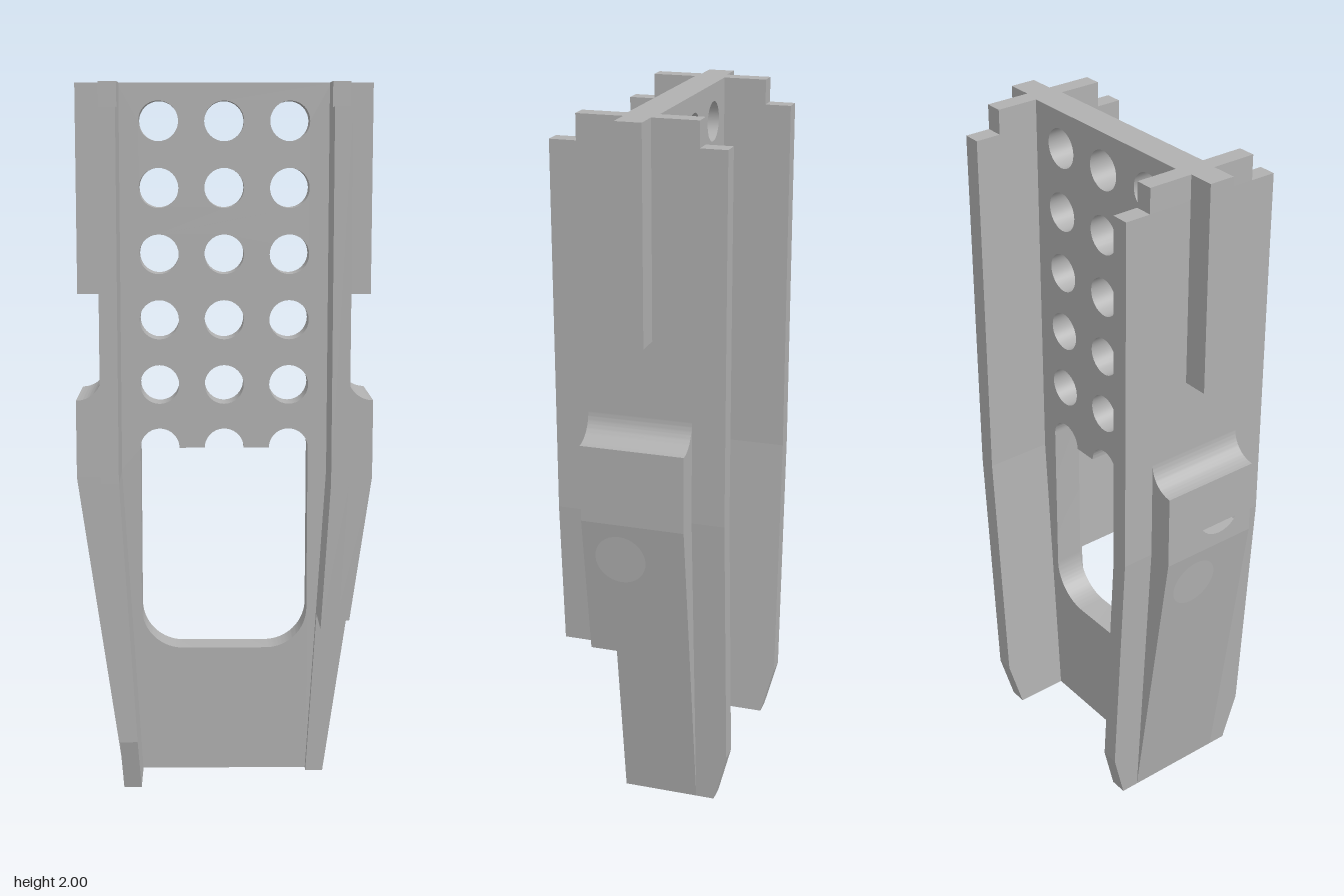
import * as THREE from 'three';
import { toCreasedNormals } from 'three/addons/utils/BufferGeometryUtils.js';

const BEND = 0.9;                                   // height where the sides start to taper
const taper = (y) => Math.max(0, (BEND - y) / BEND);
const flangeIn = (y) => 0.295 - 0.055 * taper(y);
const flangeOut = (y) => 0.345 - 0.055 * taper(y);
const padOut = (y) => 0.418 - 0.128 * taper(y);

export function createModel() {
  const model = new THREE.Group();
  model.name = 'frame';
  const grey = new THREE.MeshStandardMaterial({ color: 0xb0b0b0 });
  grey.name = 'grey';

  const outline = (pts) => new THREE.Shape(pts.map(([a, b]) => new THREE.Vector2(a, b)));
  const circle = (x, y, r) => new THREE.Path().absarc(x, y, r, 0, Math.PI * 2, true);
  const add = (parent, geo, name) => {
    const mesh = new THREE.Mesh(toCreasedNormals(geo, 0.22), grey);
    mesh.name = name;
    parent.add(mesh);
    return mesh;
  };
  const extrude = (shape, depth) =>
    new THREE.ExtrudeGeometry(shape, { depth, bevelEnabled: false, curveSegments: 16 });

  // Side plate from a (z, y) outline, filling x between two height-dependent faces
  const sidePlate = (pts, inner, outer, hole) => {
    const shape = outline(pts.map(([z, y]) => [-z, y]));
    if (hole) shape.holes.push(circle(-hole[0], hole[1], 0.073));
    const geo = extrude(shape, 1).rotateY(Math.PI / 2);
    const p = geo.attributes.position;
    for (let i = 0; i < p.count; i++) {
      const t = p.getX(i), y = p.getY(i);
      // bores in the sloping face run square to it
      const slanted = hole && hole[1] < BEND && y > 0.6 && y < 0.89;
      const yy = slanted && t < 0.5 ? y + 0.01 : y;
      p.setXYZ(i, t < 0.5 ? inner(yy) : outer(yy), yy, p.getZ(i));
    }
    return geo;
  };

  // Perforated centre web
  const web = outline([[-0.3, 2], [-0.3, BEND], [-0.245, 0], [0.245, 0], [0.3, BEND], [0.3, 2]]);
  for (const x of [-0.185, 0, 0.185])
    for (let row = 0; row < 5; row++) web.holes.push(circle(x, 1.895 - row * 0.186, 0.056));
  // Large window with a scalloped top edge
  const win = new THREE.Path();
  win.moveTo(-0.241, 0.967);
  for (const x of [-0.185, 0, 0.185]) win.absarc(x, 0.967, 0.056, Math.PI, 0, true);
  win.lineTo(0.241, 0.49);
  win.absarc(0.121, 0.49, 0.12, 0, -Math.PI / 2, true);
  win.absarc(-0.121, 0.49, 0.12, -Math.PI / 2, -Math.PI, true);
  win.closePath();
  web.holes.push(win);
  add(model, extrude(web, 0.087).translate(0, 0, -0.0445), 'web');

  // Two sides, the second turned half round; only the left one has the lower front cut-out
  for (const notched of [true, false]) {
    const side = new THREE.Group();
    side.name = notched ? 'leftSide' : 'rightSide';
    if (!notched) side.rotation.y = Math.PI;
    model.add(side);

    // Flange
    add(side, sidePlate([[-0.24, BEND], [0.24, BEND], [0.24, 1.93], [0.166, 1.93], [0.166, 2],
      [-0.166, 2], [-0.166, 1.93], [-0.24, 1.93]], flangeIn, flangeOut), 'upperFlange');
    const foot = notched ? [[0.07, 0], [0.07, 0.48], [0.24, 0.48]] : [[0.2, 0], [0.24, 0.15]];
    add(side, sidePlate([[-0.24, BEND], [-0.24, 0.15], [-0.2, 0], ...foot, [0.24, BEND]],
      flangeIn, flangeOut), 'lowerFlange');

    // Outer pad with two blind bores
    const w = 0.147;
    add(side, sidePlate([[-w, BEND], [w, BEND], [w, 1.12], [-w, 1.12]],
      flangeOut, padOut, [-0.035, 1.01]), 'upperPad');
    const padFoot = notched ? [[0.07, 0], [0.07, 0.48], [w, 0.48]] : [[w, 0]];
    add(side, sidePlate([[-w, BEND], [-w, 0], ...padFoot, [w, BEND]],
      flangeOut, padOut, [0.04, 0.79]), 'lowerPad');

    // Concave fillet above the pad
    const fillet = new THREE.Shape();
    fillet.moveTo(0.345, 1.12);
    fillet.lineTo(0.418, 1.12);
    fillet.absarc(0.418, 1.193, 0.073, -Math.PI / 2, -Math.PI, true);
    fillet.closePath();
    add(side, extrude(fillet, 2 * w).translate(0, 0, -w), 'padFillet');

    // Guide rail
    add(side, new THREE.BoxGeometry(0.075, 0.59, 0.074).translate(0.3805, 1.705, 0), 'guideRail');
  }
  return model;
}
